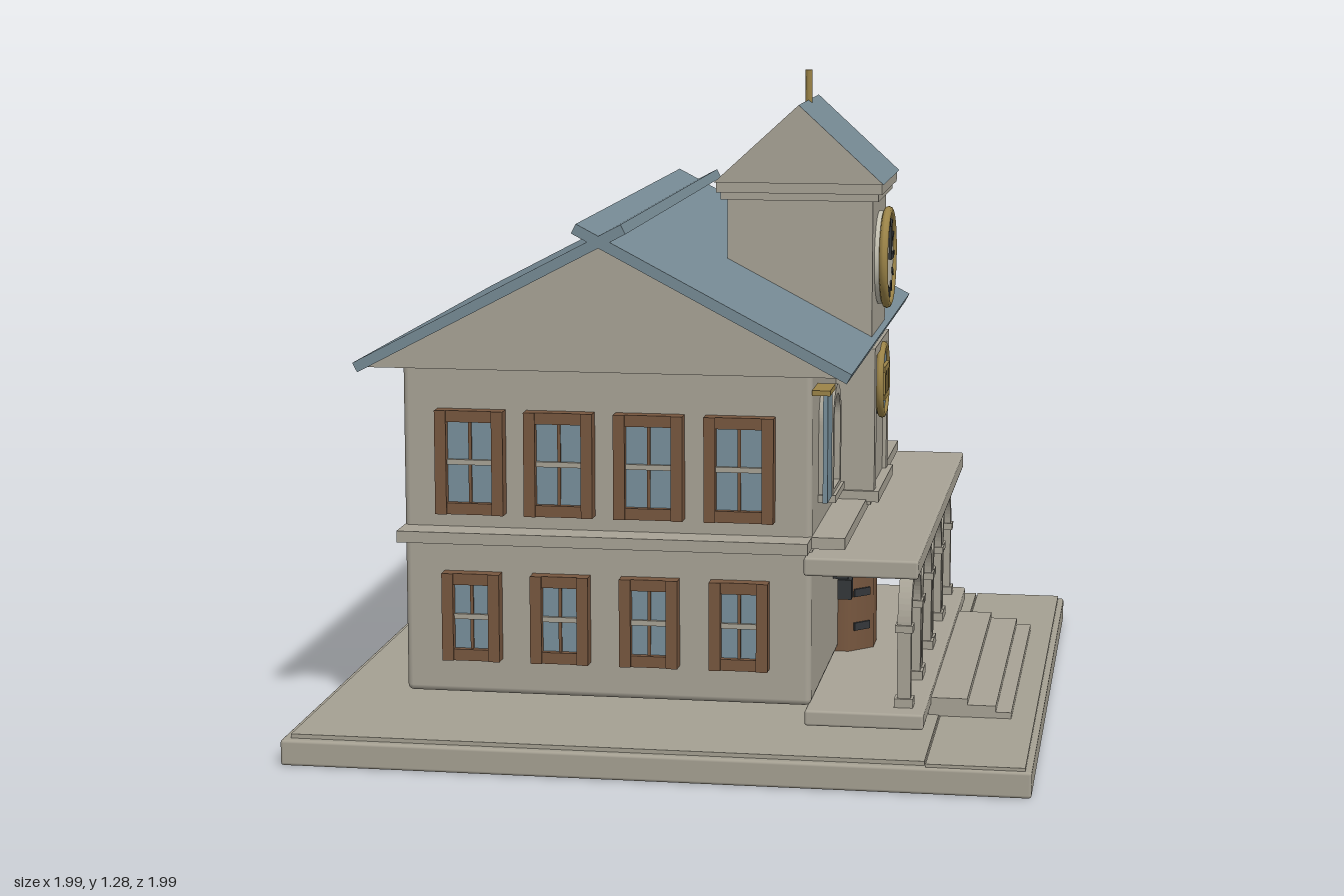
import * as THREE from 'three';
import { RoundedBoxGeometry } from 'three/addons/geometries/RoundedBoxGeometry.js';

const paint = (name, color) => Object.assign(new THREE.MeshStandardMaterial({ color }), { name });

export function createModel() {
  const stone = paint('stone', 0xa8a396);
  const paving = paint('paving', 0xa5a092);
  const slate = paint('slate', 0x768a94);
  const wood = paint('wood', 0x77573f);
  const glass = paint('glass', 0x78909c);
  const gold = paint('gold', 0x9c8448);
  const dark = paint('dark iron', 0x34373a);
  const dial = paint('dial', 0xc4c1b2);

  const model = new THREE.Group();
  model.name = 'townHall';
  // The hall stands diagonally: local x runs along the facade, local z out of it
  const hall = new THREE.Group();
  hall.name = 'hall';
  hall.rotation.y = Math.PI / 4;
  model.add(hall);

  const add = (name, geo, mat, parent = hall) => {
    const m = new THREE.Mesh(geo, mat);
    m.name = name;
    parent.add(m);
    return m;
  };
  // Box from ranges; r rounds the edges
  const box = (name, mat, [x0, x1], [y0, y1], [z0, z1], parent = hall, r = 0) => {
    const s = [x1 - x0, y1 - y0, z1 - z0];
    const geo = r ? new RoundedBoxGeometry(...s, 2, r) : new THREE.BoxGeometry(...s);
    const m = add(name, geo, mat, parent);
    m.position.set((x0 + x1) / 2, (y0 + y1) / 2, (z0 + z1) / 2);
    return m;
  };
  const group = (name, x, y, z, turn = 0) => {
    const g = new THREE.Group();
    g.name = name;
    g.position.set(x, y, z);
    g.rotation.y = turn;
    hall.add(g);
    return g;
  };
  // Gabled solid with its ridge along x
  const prism = (name, mats, half, z0, z1, y0, y1) => {
    const shape = new THREE.Shape([[z0, y0], [z1, y0], [(z0 + z1) / 2, y1]].map(p => new THREE.Vector2(...p)));
    const geo = new THREE.ExtrudeGeometry(shape, { depth: 2 * half, bevelEnabled: false });
    geo.translate(0, 0, -half).rotateY(-Math.PI / 2);
    return add(name, geo, mats);
  };
  // Round-headed outline, and a band cut from it
  const trace = (path, w, bottom, spring) => {
    path.moveTo(-w, bottom).lineTo(w, bottom).lineTo(w, spring);
    path.absarc(0, spring, w, 0, Math.PI, false);
    path.lineTo(-w, bottom);
    return path;
  };
  const archGeo = (w, bottom, spring, depth, inner, innerBottom) => {
    const shape = trace(new THREE.Shape(), w, bottom, spring);
    if (inner) shape.holes.push(trace(new THREE.Path(), inner, innerBottom, spring));
    return new THREE.ExtrudeGeometry(shape, { depth, bevelEnabled: false, curveSegments: 16 });
  };

  // Ground plate, with a strip of pavement in front
  box('groundPlate', paving, [-0.707, 0.707], [0, 0.05], [-0.707, 0.707], hall, 0.006);
  box('yard', paving, [-0.69, 0.69], [0.05, 0.058], [-0.69, 0.51]);
  box('frontPavement', paving, [-0.7, 0.7], [0.05, 0.056], [0.513, 0.695]);

  // Steps and porch floor
  [[0.56, 0.65, 0.068], [0.54, 0.62, 0.08], [0.49, 0.565, 0.092]].forEach(([z0, z1, top]) =>
    box('step', stone, [-0.365, 0.365], [0.056, top], [z0, z1]));
  box('porchFloor', stone, [-0.545, 0.545], [0.075, 0.105], [0.27, 0.495], hall, 0.005);

  // Two storeys and their belt courses
  box('lowerStorey', stone, [-0.527, 0.527], [0.108, 0.42], [-0.505, 0.28], hall, 0.012);
  box('upperStorey', stone, [-0.527, 0.527], [0.422, 0.75], [-0.505, 0.28], hall, 0.012);
  box('frontBelt', stone, [-0.527, 0.527], [0.413, 0.435], [0.27, 0.343]);
  box('sideBelt', stone, [-0.59, -0.52], [0.413, 0.435], [-0.505, 0.28]);

  // Main roof: gable solid and two slabs that cross at the ridge
  const mid = -0.113;
  prism('gable', stone, 0.57, mid - 0.45, mid + 0.45, 0.745, 0.985);
  const tilt = Math.atan2(0.27, 0.515);
  for (const s of [1, -1]) {
    const slab = add('roofSlope', new THREE.BoxGeometry(1.174, 0.02, 0.5815), slate);
    slab.rotation.x = s * tilt;
    slab.position.set(0, 0.89 - 0.01 * Math.cos(tilt), mid + s * (0.2155 - 0.01 * Math.sin(tilt)));
  }

  // Porch roof and arcade
  box('porchRoof', stone, [-0.57, 0.57], [0.37, 0.405], [0.27, 0.485], hall, 0.005);
  for (const x of [-0.375, -0.125, 0.125, 0.375]) {
    const bay = group('archBay', x, 0, 0.44);
    const band = new THREE.Shape();
    band.moveTo(-0.117, 0.105).lineTo(-0.095, 0.105).lineTo(-0.095, 0.258);
    band.absarc(0, 0.258, 0.095, Math.PI, 0, true);
    band.lineTo(0.095, 0.105).lineTo(0.117, 0.105).lineTo(0.117, 0.258);
    band.absarc(0, 0.258, 0.117, 0, Math.PI, false);
    add('arch', new THREE.ExtrudeGeometry(band, { depth: 0.026, bevelEnabled: false, curveSegments: 16 }), stone, bay);
    for (const s of [-0.106, 0.106]) {
      box('columnBase', stone, [s - 0.017, s + 0.017], [0.105, 0.122], [-0.005, 0.031], bay);
      box('columnCapital', stone, [s - 0.016, s + 0.016], [0.25, 0.264], [-0.004, 0.03], bay);
    }
  }

  // Projecting door with iron bands, and a lantern to each side
  const door = group('door', 0, 0.225, 0.27);
  add('doorLeaves', new THREE.CylinderGeometry(0.085, 0.085, 0.24, 8).rotateY(Math.PI / 8), wood, door);
  for (const y of [-0.07, 0, 0.07]) {
    for (const s of [-1, 1]) {
      const strap = box('strap', dark, [-0.02, 0.02], [y - 0.008, y + 0.008], [-0.004, 0.004], door);
      strap.position.set(s * 0.056, y, 0.056);
      strap.rotation.y = s * Math.PI / 4;
    }
  }
  for (const s of [-1, 1]) {
    box('lanternArm', dark, [s * 0.16 - 0.005, s * 0.16 + 0.005], [0.275, 0.285], [0.28, 0.31]);
    box('lantern', dark, [s * 0.16 - 0.014, s * 0.16 + 0.014], [0.235, 0.275], [0.29, 0.318]);
  }

  // Side windows, four to a storey on each gable end
  for (const side of [-1, 1]) {
    for (const [y, w, h] of [[0.563, 0.066, 0.1], [0.263, 0.056, 0.085]]) {
      for (let i = 0; i < 4; i++) {
        const win = group('sideWindow', side * 0.527, y, mid + (i - 1.5) * 0.172, side * Math.PI / 2);
        const t = 0.022;
        box('windowBack', wood, [-w, w], [-h, h], [-0.005, 0.008], win);
        box('pane', glass, [t - w, w - t], [t - h, h - t], [0.008, 0.013], win);
        for (const s of [-1, 1]) {
          const x = s * (w - t / 2), v = s * (h - t / 2);
          box('jamb', wood, [x - t / 2, x + t / 2], [-h, h], [0, 0.03], win);
          box('rail', wood, [-w, w], [v - t / 2, v + t / 2], [0, 0.026], win);
        }
        box('mullion', wood, [-0.003, 0.003], [t - h, h - t], [0.008, 0.017], win);
        box('crossbar', stone, [t - w, w - t], [-0.005, 0.005], [0.008, 0.02], win);
      }
    }
  }

  // Arched front windows and hanging banners
  for (const s of [-1, 1]) {
    const win = group('archWindow', s * 0.355, 0, 0.28);
    add('surround', archGeo(0.068, 0.49, 0.632, 0.028, 0.05, 0.505), stone, win);
    add('pane', archGeo(0.05, 0.505, 0.632, 0.008), glass, win);
    box('mullion', dark, [-0.005, 0.005], [0.505, 0.68], [0.006, 0.014], win);
    box('crossbar', dark, [-0.05, 0.05], [0.595, 0.603], [0.006, 0.014], win);
    box('sill', stone, [-0.075, 0.075], [0.483, 0.497], [0, 0.034], win);
    const x = s * 0.487;
    box('banner', glass, [x - 0.036, x + 0.036], [0.5, 0.705], [0.3, 0.309]);
    box('bannerRod', gold, [x - 0.044, x + 0.044], [0.705, 0.715], [0.28, 0.314]);
  }

  // Clock tower
  box('towerShaft', stone, [-0.13, 0.13], [0.42, 1.04], [0.06, 0.35]);
  box('towerPlinth', stone, [-0.148, 0.148], [0.43, 0.452], [0.27, 0.368]);
  box('towerBand', stone, [-0.14, 0.14], [0.72, 0.738], [0.27, 0.358]);
  for (const s of [-1, 1]) {
    box('pilaster', stone, [s * 0.122 - 0.018, s * 0.122 + 0.018], [0.45, 0.72], [0.27, 0.358]);
  }
  box('lowerCornice', stone, [-0.142, 0.142], [1.03, 1.045], [0.048, 0.362]);
  box('upperCornice', stone, [-0.152, 0.152], [1.045, 1.066], [0.04, 0.37]);
  prism('towerRoof', [stone, slate], 0.165, 0.038, 0.374, 1.066, 1.22);
  add('spire', new THREE.CylinderGeometry(0.007, 0.007, 0.07, 8), gold).position.set(0, 1.245, 0.206);

  // Clock at three o'clock
  const disc = (name, r, d, mat, z, parent) =>
    add(name, new THREE.CylinderGeometry(r, r, d, 32).rotateX(Math.PI / 2), mat, parent).position.setZ(z);
  const clock = group('clock', 0, 0.905, 0.35);
  disc('clockFace', 0.094, 0.02, dial, 0.01, clock);
  add('clockRim', new THREE.TorusGeometry(0.094, 0.009, 8, 40), gold, clock).position.z = 0.018;
  for (let i = 0; i < 12; i++) {
    const a = i * Math.PI / 6;
    const tick = add('hourMark', new THREE.BoxGeometry(0.009, 0.02, 0.004), dark, clock);
    tick.position.set(0.072 * Math.sin(a), 0.072 * Math.cos(a), 0.021);
    tick.rotation.z = -a;
  }
  box('minuteHand', dark, [-0.005, 0.005], [-0.005, 0.062], [0.02, 0.026], clock);
  box('hourHand', dark, [-0.005, 0.044], [-0.005, 0.005], [0.02, 0.026], clock);

  // Round medallion with little columns
  const medal = group('medallion', 0, 0.655, 0.35);
  disc('medallionField', 0.07, 0.012, slate, 0.006, medal);
  add('medallionRim', new THREE.TorusGeometry(0.07, 0.008, 8, 36), gold, medal).position.z = 0.01;
  for (const x of [-0.03, 0, 0.03]) box('reliefColumn', gold, [x - 0.007, x + 0.007], [-0.025, 0.02], [0.01, 0.019], medal);
  box('reliefStep', gold, [-0.046, 0.046], [-0.036, -0.025], [0.01, 0.019], medal);
  box('reliefLintel', gold, [-0.046, 0.046], [0.02, 0.032], [0.01, 0.019], medal);

  return model;
}
